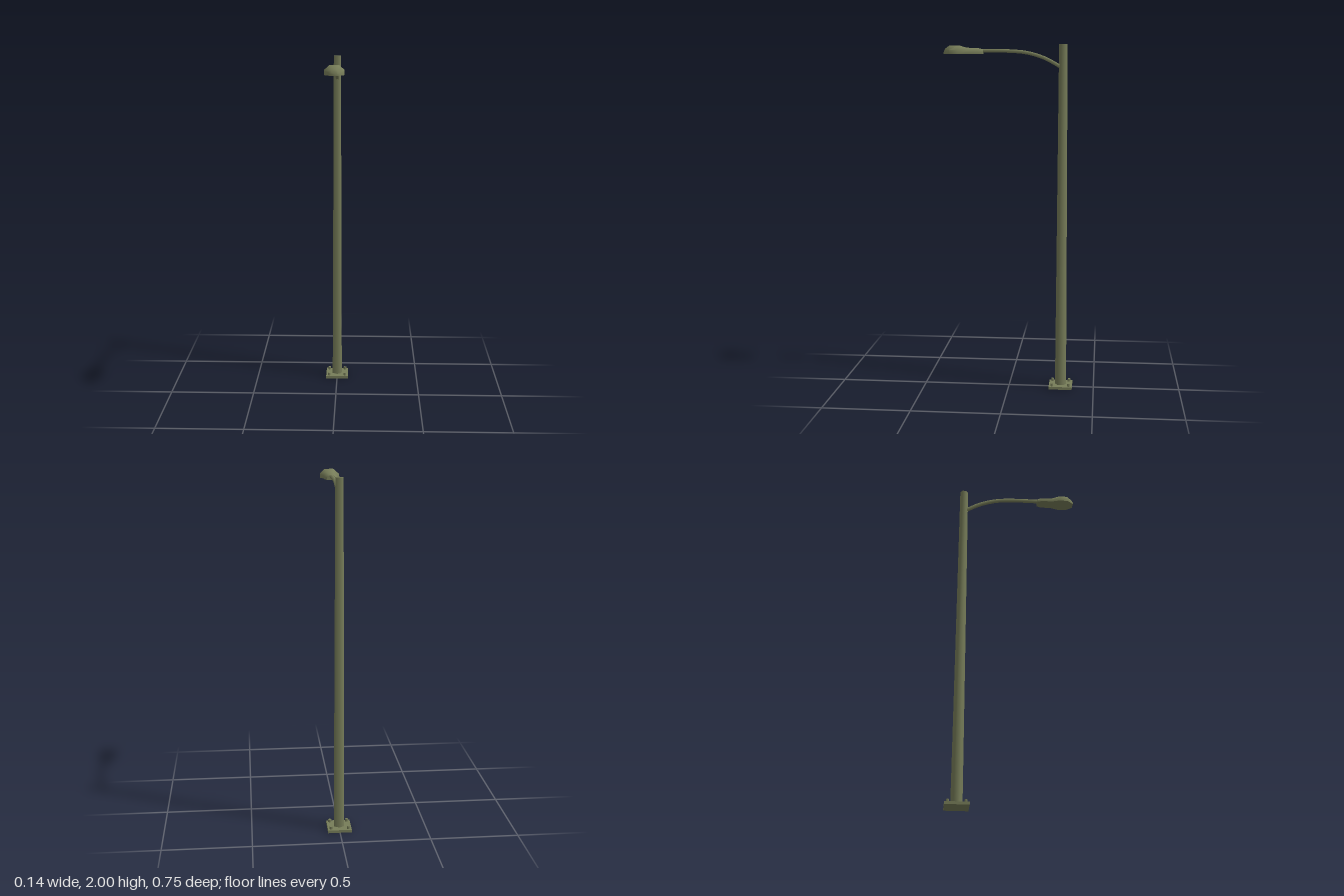
import * as THREE from 'three';
import { toCreasedNormals } from 'three/addons/utils/BufferGeometryUtils.js';

const POLE_Z = -0.306;

// Lamp head sections: z, half width, shoulder y, top y
const HEAD_BASE = 1.945;
const HEAD_SECTIONS = [
  [0.148, 0.026, 1.957, 1.970],
  [0.172, 0.036, 1.961, 1.977],
  [0.242, 0.039, 1.962, 1.980],
  [0.288, 0.055, 1.968, 1.993],
  [0.335, 0.051, 1.967, 1.993],
  [0.362, 0.030, 1.962, 1.976],
  [0.371, 0.022, 1.954, 1.962],
];

// Loft closed rings, with a flat underside and capped ends
function lampHeadGeometry() {
  const n = 6;
  const positions = [];
  const index = [];
  for (const [z, w, ym, yt] of HEAD_SECTIONS) {
    positions.push(w, HEAD_BASE, z, w, ym, z, w * 0.5, yt, z);
    positions.push(-w * 0.5, yt, z, -w, ym, z, -w, HEAD_BASE, z);
  }
  const last = HEAD_SECTIONS.length - 1;
  for (let s = 0; s < last; s++) {
    for (let i = 0; i < n; i++) {
      const a = s * n + i;
      const b = s * n + (i + 1) % n;
      index.push(a, b, a + n, b, b + n, a + n);
    }
  }
  for (let i = 1; i < n - 1; i++) {
    index.push(0, i + 1, i);
    index.push(last * n, last * n + i, last * n + i + 1);
  }
  const g = new THREE.BufferGeometry();
  g.setAttribute('position', new THREE.Float32BufferAttribute(positions, 3));
  g.setIndex(index);
  return toCreasedNormals(g, 0.95);
}

export function createModel() {
  const model = new THREE.Group();
  model.name = 'streetLight';
  const paint = new THREE.MeshStandardMaterial({ color: 0x777d59 });
  paint.name = 'olive paint';

  function add(name, geometry, x = 0, y = 0, z = 0) {
    const mesh = new THREE.Mesh(geometry, paint);
    mesh.name = name;
    mesh.position.set(x, y, z);
    model.add(mesh);
    return mesh;
  }

  // Square foot and its four bolts
  add('basePlate', new THREE.BoxGeometry(0.136, 0.016, 0.136), 0, 0.008, POLE_Z);
  const bolt = new THREE.CylinderGeometry(0.009, 0.009, 0.022, 6);
  for (const sx of [-1, 1]) {
    for (const sz of [-1, 1]) {
      const mesh = add('bolt', bolt, sx * 0.049, 0.021, POLE_Z + sz * 0.049);
      mesh.rotation.y = Math.PI / 6;
    }
  }

  // Tapered six-sided pole
  add('pole', new THREE.CylinderGeometry(0.024, 0.033, 1.986, 6), 0, 1.007, POLE_Z);

  // Curved arm from the pole to the lamp
  const path = new THREE.CatmullRomCurve3([
    [1.866, -0.302], [1.884, -0.272], [1.922, -0.2], [1.952, -0.1],
    [1.961, 0], [1.963, 0.08], [1.963, 0.165],
  ].map(([y, z]) => new THREE.Vector3(0, y, z)));
  add('arm', new THREE.TubeGeometry(path, 12, 0.0115, 6, false));

  // Lamp head
  add('lampHead', lampHeadGeometry());

  return model;
}
